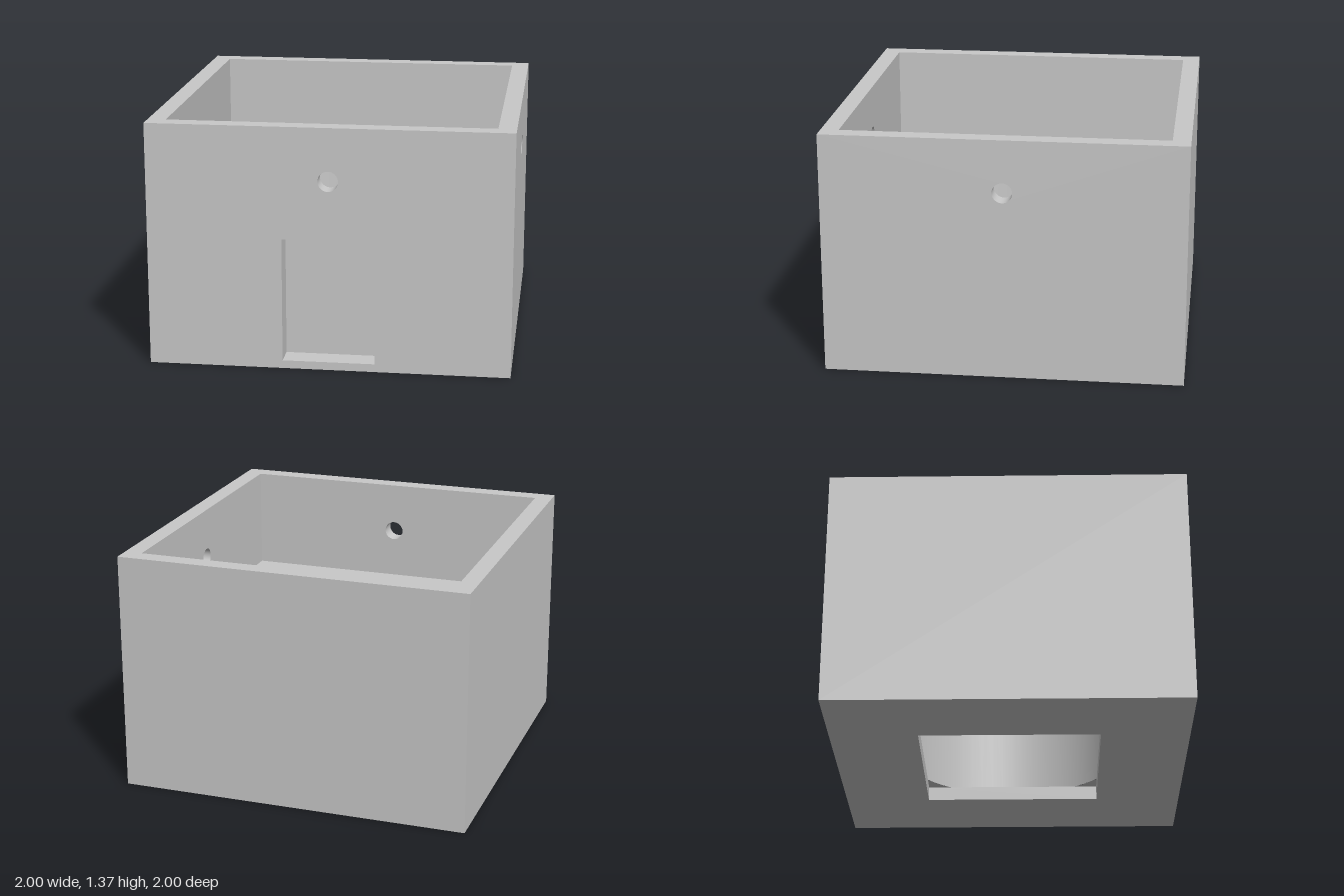
import * as THREE from 'three';
import { mergeGeometries } from 'three/addons/utils/BufferGeometryUtils.js';

const H = 1.365;        // total height
const IN = 0.9;         // half width of the tray cavity
const LEDGE = 0.78;     // tray floor height
const BASE = 0.08;      // bottom plate thickness
const R = 0.63;         // round well radius
const S = 0.506;        // half width of the square base opening
const DOOR = { w: 0.51, y0: 0.045, y1: 0.74, depth: 0.135 };
const BORE = { y: 1.07, r: 0.056 };

function rect(x0, y0, x1, y1, Type = THREE.Shape) {
  return new Type([[x0, y0], [x1, y0], [x1, y1], [x0, y1]].map(p => new THREE.Vector2(...p)));
}

function circleHole(y, r) {
  const path = new THREE.Path();
  path.absarc(0, y, r, 0, Math.PI * 2, true);
  return path;
}

function flat(shape, holes = []) {
  shape.holes.push(...holes);
  return new THREE.ShapeGeometry(shape, 32);
}

// Upright panel facing outward at the given turn; a negative distance faces inward
function upright(geometry, distance, turn) {
  return geometry.translate(0, 0, distance).rotateY(turn);
}

const facingUp = (g, y) => g.rotateX(-Math.PI / 2).translate(0, y, 0);
const facingDown = (g, y) => g.rotateX(Math.PI / 2).translate(0, y, 0);

// Inward-facing round wall along y
function roundWall(r, y0, y1) {
  return new THREE.LatheGeometry([new THREE.Vector2(r, y1), new THREE.Vector2(r, y0)], 64);
}

// Four inward-facing walls around the z axis
function squareWall(w, h, d) {
  const q = Math.PI / 2;
  return mergeGeometries([
    new THREE.PlaneGeometry(d, h).rotateY(q).translate(-w / 2, 0, 0),
    new THREE.PlaneGeometry(d, h).rotateY(-q).translate(w / 2, 0, 0),
    new THREE.PlaneGeometry(w, d).rotateX(-q).translate(0, -h / 2, 0),
    new THREE.PlaneGeometry(w, d).rotateX(q).translate(0, h / 2, 0),
  ]);
}

export function createModel() {
  const group = new THREE.Group();
  const grey = new THREE.MeshStandardMaterial({ color: 0xc8c8c8 });
  grey.name = 'plain grey';
  const add = (name, ...parts) => {
    const mesh = new THREE.Mesh(mergeGeometries(parts), grey);
    mesh.name = name;
    group.add(mesh);
  };

  // Outer and inner walls; front and right ones are pierced by a bore
  ['front', 'right', 'back', 'left'].forEach((side, i) => {
    const turn = i * Math.PI / 2;
    const bored = i < 2;
    const bore = () => (bored ? [circleHole(BORE.y, BORE.r)] : []);
    const outerHoles = bore();
    if (i === 0) outerHoles.push(rect(-DOOR.w / 2, DOOR.y0, DOOR.w / 2, DOOR.y1, THREE.Path));
    add(side + 'OuterWall', upright(flat(rect(-1, 0, 1, H), outerHoles), 1, turn));
    add(side + 'InnerWall', upright(flat(rect(-IN, LEDGE, IN, H), bore()), -IN, turn + Math.PI));
    if (bored) {
      add(side + 'Bore', roundWall(BORE.r, IN, 1).rotateX(Math.PI / 2)
        .translate(0, BORE.y, 0).rotateY(turn));
    }
  });

  // Horizontal faces
  add('rim', facingUp(flat(rect(-1, -1, 1, 1), [rect(-IN, -IN, IN, IN, THREE.Path)]), H));
  add('trayFloor', facingUp(flat(rect(-IN, -IN, IN, IN), [circleHole(0, R)]), LEDGE));
  add('underside', facingDown(flat(rect(-1, -1, 1, 1), [rect(-S, -S, S, S, THREE.Path)]), 0));

  // Round well and the square opening below it
  add('roundWell', roundWall(R, BASE, LEDGE));
  add('baseOpening', squareWall(2 * S, 2 * S, BASE).rotateX(Math.PI / 2).translate(0, BASE / 2, 0));

  // Where circle and square differ: floor segments and overhanging corners
  const phi = Math.acos(S / R);
  const h = R * Math.sin(phi);
  for (let i = 0; i < 4; i++) {
    const turn = i * Math.PI / 2;
    const segment = new THREE.Shape();
    segment.moveTo(S, -h);
    segment.absarc(0, 0, R, -phi, phi, false);
    add('wellFloorSegment', facingUp(flat(segment), BASE).rotateY(turn));

    const corner = new THREE.Shape();
    corner.moveTo(S, h);
    corner.lineTo(S, S);
    corner.lineTo(h, S);
    corner.absarc(0, 0, R, Math.PI / 2 - phi, phi, true);
    add('cornerOverhang', facingDown(flat(corner), BASE).rotateY(turn));
  }

  // Doorway recess in the front
  const doorH = DOOR.y1 - DOOR.y0;
  const doorY = (DOOR.y0 + DOOR.y1) / 2;
  add('doorRecess',
    squareWall(DOOR.w, doorH, DOOR.depth).translate(0, doorY, 1 - DOOR.depth / 2),
    new THREE.PlaneGeometry(DOOR.w, doorH).translate(0, doorY, 1 - DOOR.depth));

  return group;
}
